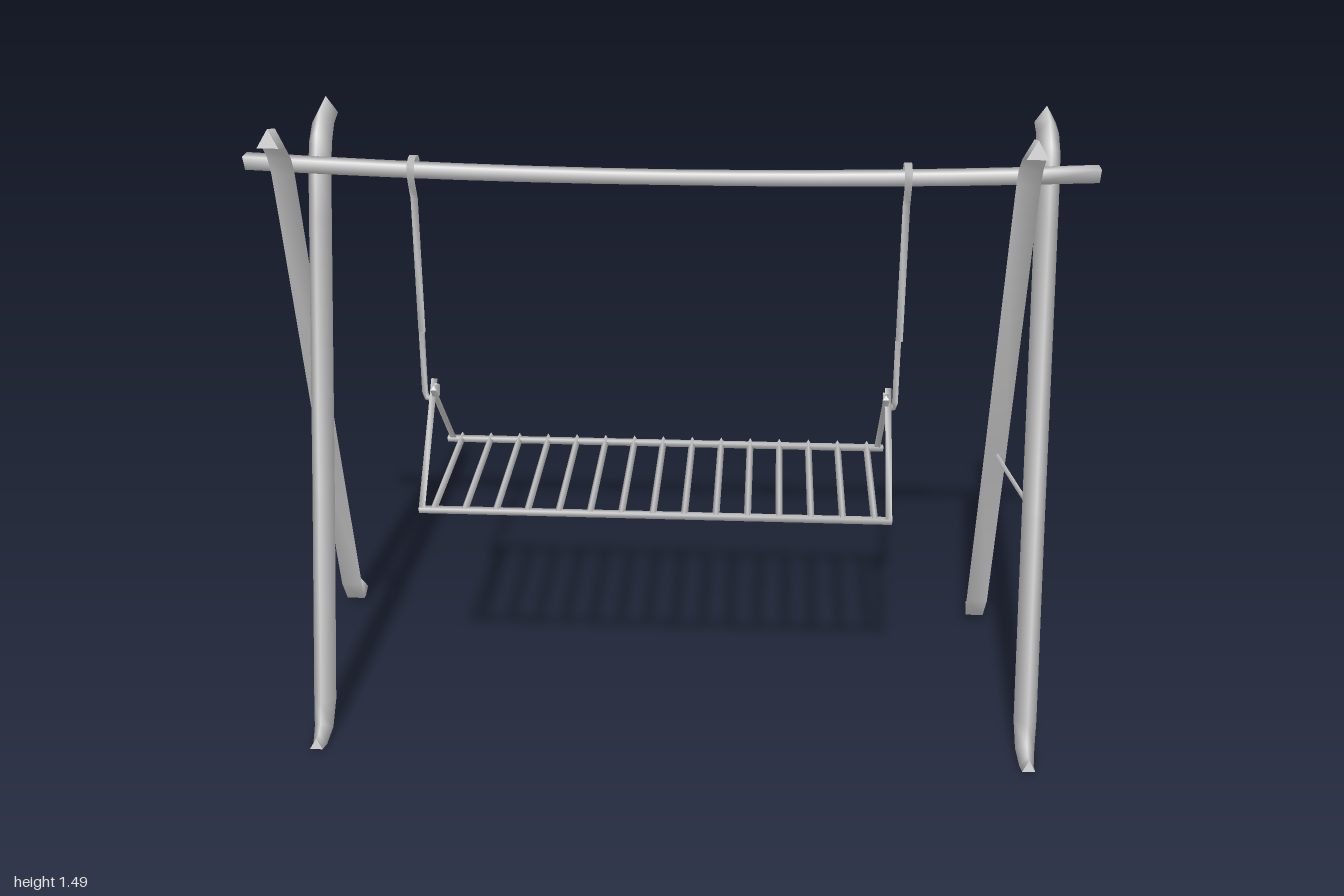
import * as THREE from 'three';

const material = new THREE.MeshStandardMaterial({ color: 0xcccccc });
const X = new THREE.Vector3(1, 0, 0);
const Z = new THREE.Vector3(0, 0, 1);

// Sweeps a three-sided section along a planar path; side is the normal of that
// plane, and apex (+1 or -1) picks which way in the plane the ridge points.
function bar(name, path, radii, side = X, apex = 1) {
  const sides = 3;
  const pts = path.map((p) => new THREE.Vector3(...p));
  const radius = (i) => (Array.isArray(radii) ? radii[i] : radii);
  const pos = [];
  const index = [];
  const n = pts.length;
  const ring = (i) => {
    const t = pts[Math.min(i + 1, n - 1)].clone().sub(pts[Math.max(i - 1, 0)]).normalize();
    const up = t.clone().cross(side).normalize();
    const across = up.clone().cross(t).normalize();
    for (let j = 0; j < sides; j++) {
      const a = (j / sides) * Math.PI * 2 + (apex * Math.PI) / 2;
      const v = pts[i].clone()
        .addScaledVector(across, radius(i) * Math.cos(a))
        .addScaledVector(up, radius(i) * Math.sin(a));
      pos.push(v.x, v.y, v.z);
    }
  };
  for (let i = 0; i < n; i++) ring(i);
  for (let i = 0; i < n - 1; i++) {
    for (let j = 0; j < sides; j++) {
      const k = (j + 1) % sides;
      const a = i * sides + j, b = i * sides + k;
      index.push(a, b, a + sides, b, b + sides, a + sides);
    }
  }
  // Flat end caps with their own vertices
  for (const end of [0, n - 1]) {
    const s = pos.length / 3;
    ring(end);
    if (end) index.push(s, s + 1, s + 2);
    else index.push(s, s + 2, s + 1);
  }
  const geometry = new THREE.BufferGeometry();
  geometry.setAttribute('position', new THREE.Float32BufferAttribute(pos, 3));
  geometry.setIndex(index);
  geometry.computeVertexNormals();
  const mesh = new THREE.Mesh(geometry, material);
  mesh.name = name;
  return mesh;
}

// Leg centre line as [z, y, radius], from the curled foot to the flared top
const LEG = [
  [0.413, 0.021, 0.018], [0.377, 0.012, 0.02], [0.338, 0.03, 0.027], [0.311, 0.087, 0.032],
  [0.17, 0.578, 0.032], [-0.008, 1.238, 0.032], [-0.043, 1.362, 0.032], [-0.068, 1.411, 0.032],
  [-0.11, 1.449, 0.031], [-0.168, 1.463, 0.029],
];

// The ridge of each leg faces outwards, up at the flared top
function leg(name, x, dir) {
  return bar(name, LEG.map(([z, y]) => [x, y, z * dir]), LEG.map((p) => p[2]), X, -dir);
}

// Crossed pair of legs tied by a thin brace
function legPair(name, x) {
  const group = new THREE.Group();
  group.name = name;
  group.add(
    leg('backLeg', x - 0.03, -1),
    leg('frontLeg', x + 0.03, 1),
    bar('legBrace', [[x - 0.03, 0.585, -0.19], [x + 0.03, 0.585, 0.19]], 0.007),
  );
  return group;
}

// Hanger: loop over the beam, straight rod and a small hook turned inwards
function hanger(name, side) {
  const group = new THREE.Group();
  group.name = name;
  const x = side * 0.579;
  const loop = [[x, 0.95, 0], [x, 1.29, 0.004], [x, 1.33, 0.025]];
  for (let i = 0; i <= 8; i++) {
    const a = (i / 8) * Math.PI * 1.1;
    loop.push([x, 1.358 + 0.028 * Math.sin(a), 0.036 * Math.cos(a)]);
  }
  group.add(
    bar('hangerLoop', loop, 0.01),
    bar('hangerHook', [
      [x, 0.95, 0], [x, 0.79, 0], [x - side * 0.004, 0.776, 0],
      [x - side * 0.018, 0.772, 0], [x - side * 0.027, 0.785, 0], [x - side * 0.027, 0.812, 0],
    ], 0.009, Z),
  );
  return group;
}

// Hanging grate: two rails, cross bars and a crossed pair of stays at each end
function grate() {
  const group = new THREE.Group();
  group.name = 'grate';
  for (const s of [-1, 1]) {
    group.add(bar('rail', [[-0.569, 0.572, s * 0.212], [0.569, 0.572, s * 0.212]], 0.011, Z));
    for (const end of [-1, 1]) {
      const x = end * (0.557 + s * 0.004);
      group.add(bar('stay', [[x, 0.572, s * 0.215], [x, 0.812, -s * 0.032]], 0.009));
    }
  }
  for (let i = 0; i < 15; i++) {
    const x = -0.533 + i * 0.0757;
    group.add(bar('crossBar', [[x, 0.573, -0.23], [x, 0.578, 0.215]], 0.01));
  }
  return group;
}

export function createModel() {
  const model = new THREE.Group();
  model.name = 'hangingGrateRack';
  model.add(legPair('rightLegs', -0.865), legPair('leftLegs', 0.86));

  // Long beam, flat on top, sagging slightly in the middle
  const beam = [];
  const beamRadii = [];
  for (let i = 0; i <= 12; i++) {
    const x = -1 + i / 6;
    beam.push([x, 1.351 + 0.024 * x * x, 0]);
    beamRadii.push(0.022 + 0.003 * Math.abs(x));
  }
  model.add(bar('beam', beam, beamRadii, Z));

  // Suspended parts sit a little to the right of centre
  const hanging = new THREE.Group();
  hanging.name = 'hangingParts';
  hanging.position.x = -0.02;
  hanging.add(hanger('rightHanger', -1), hanger('leftHanger', 1), grate());
  model.add(hanging);
  return model;
}
